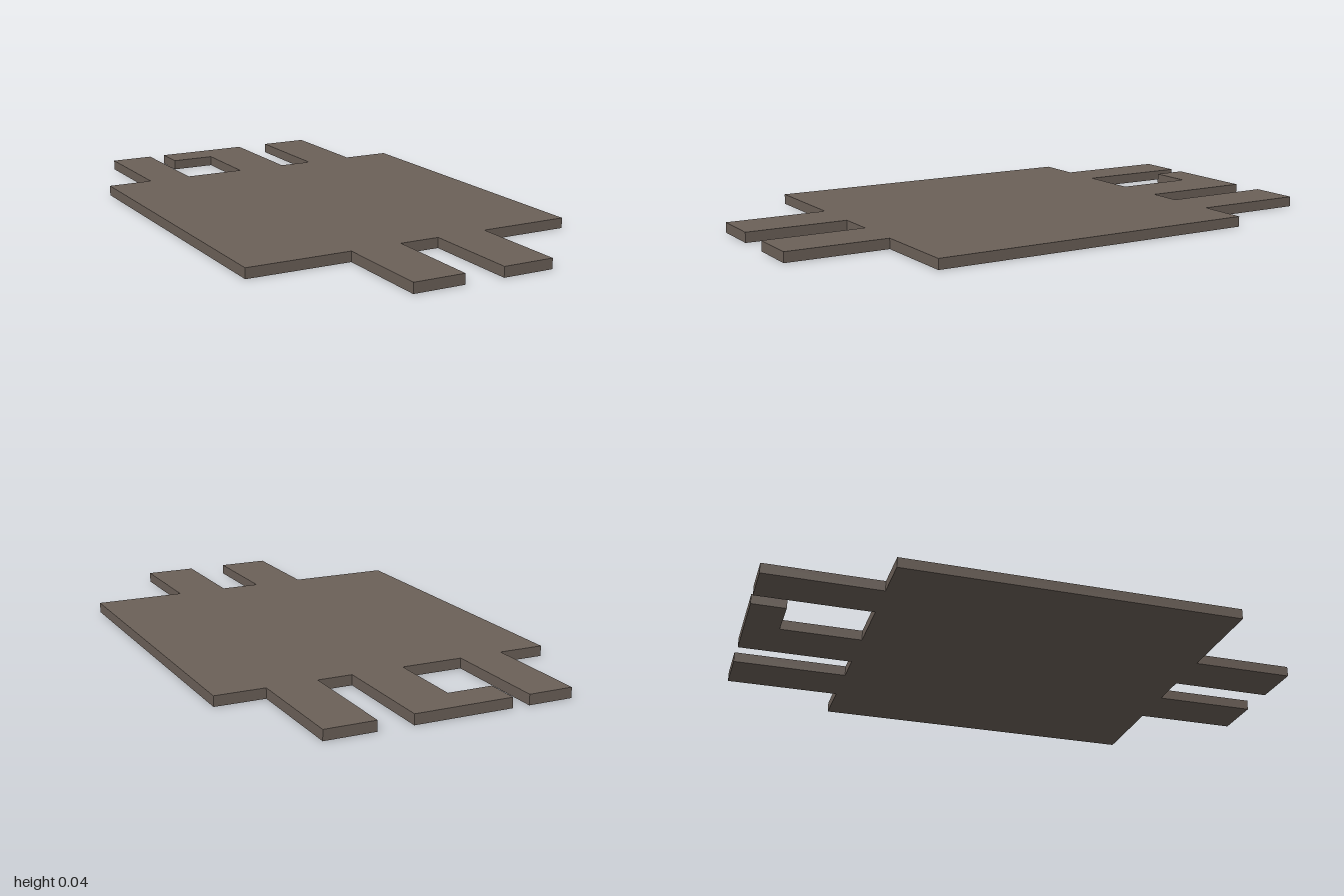
import * as THREE from 'three';

const THICKNESS = 0.037;
const HALF_WIDTH = 0.617;
const BACK = -0.587, FRONT = 0.627; // z of the plate's two short edges

export function createModel() {
  const group = new THREE.Group();
  group.name = 'tabbedPlate';

  const plateBrown = new THREE.MeshStandardMaterial({ color: 0x6b6058 });
  plateBrown.name = 'plateBrown';

  // Corners of a straight tab from edge z to tip z, between two x positions
  const tab = (x0, x1, edge, tip) => [[x0, edge], [x0, tip], [x1, tip], [x1, edge]];

  // Outline as [x, z], running along the back edge and returning along the front
  const outline = [
    [-HALF_WIDTH, BACK],
    ...tab(-0.449, -0.288, BACK, -1),
    // hooked middle tab
    [-0.062, BACK], [-0.062, -0.878], [-0.226, -0.878],
    [-0.226, -1], [0.128, -1], [0.128, BACK],
    ...tab(0.254, 0.436, BACK, -1),
    [HALF_WIDTH, BACK],
    [HALF_WIDTH, FRONT],
    ...tab(0.284, 0.096, FRONT, 1),
    ...tab(-0.05, -0.238, FRONT, 1),
    [-HALF_WIDTH, FRONT],
  ];

  // Flat plate with all tabs, extruded upward from the ground
  const shape = new THREE.Shape(outline.map(([x, z]) => new THREE.Vector2(x, -z)));
  const geometry = new THREE.ExtrudeGeometry(shape, { depth: THICKNESS, bevelEnabled: false });
  geometry.rotateX(-Math.PI / 2);

  const plate = new THREE.Mesh(geometry, plateBrown);
  plate.name = 'plate';
  group.add(plate);
  return group;
}
